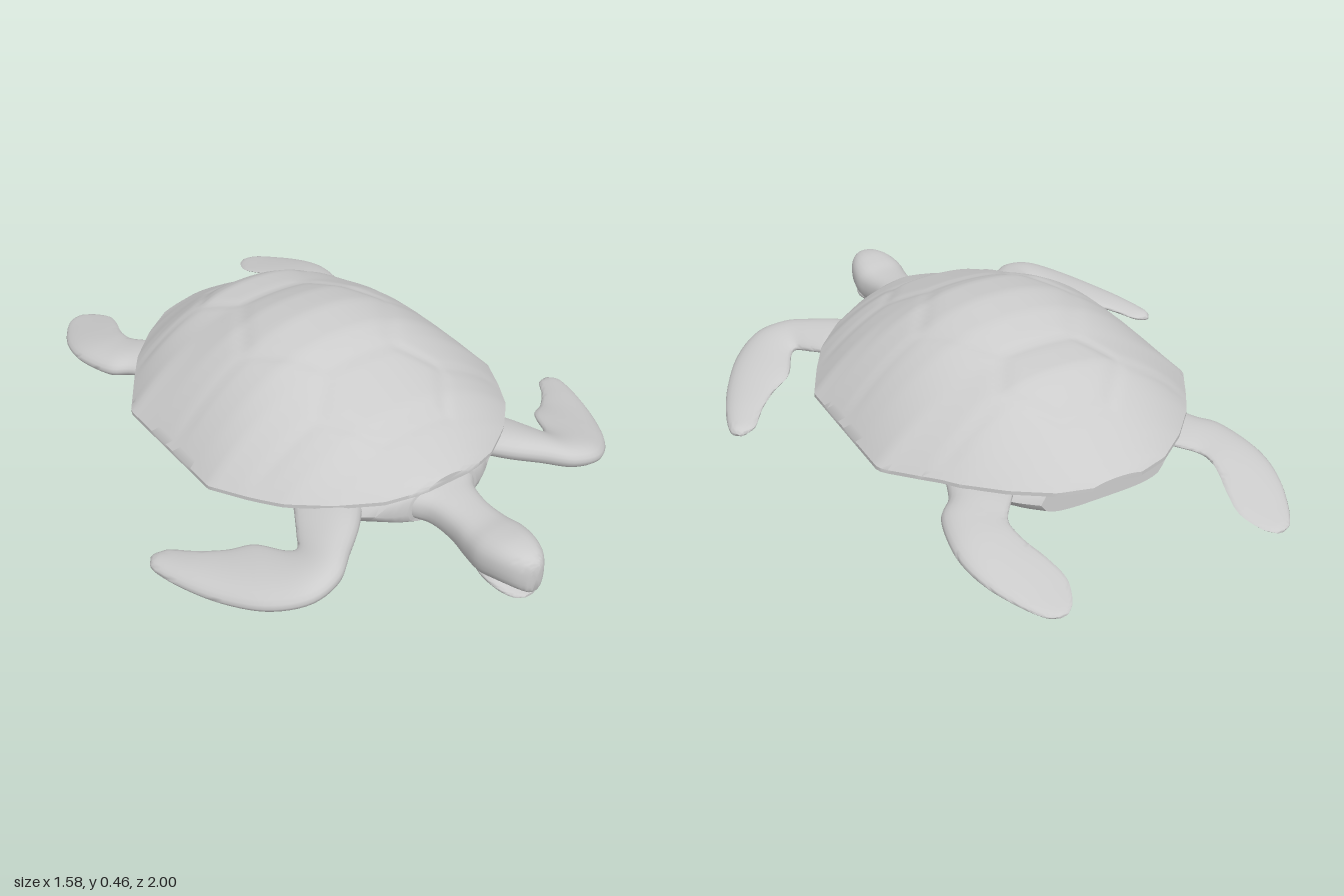
import * as THREE from 'three';
import { toCreasedNormals } from 'three/addons/utils/BufferGeometryUtils.js';

const material = new THREE.MeshStandardMaterial({ color: 0xcccccc });

// Linear interpolation through [t, value] pairs with ascending t
function sample(pairs, t) {
  if (t <= pairs[0][0]) return pairs[0][1];
  for (let i = 1; i < pairs.length; i++) {
    const [a, va] = pairs[i - 1], [b, vb] = pairs[i];
    if (t <= b) return va + ((vb - va) * (t - a)) / (b - a);
  }
  return pairs[pairs.length - 1][1];
}

// Skin closed rings of points, cap both ends and face the result outward
function loft(name, rings, crease = 0.9) {
  const n = rings[0].length, pos = [], index = [];
  rings.forEach((r) => r.forEach((p) => pos.push(p.x, p.y, p.z)));
  for (let i = 0; i < rings.length - 1; i++) {
    for (let j = 0; j < n; j++) {
      const a = i * n + j, b = i * n + ((j + 1) % n);
      index.push(a, b, a + n, b, b + n, a + n);
    }
  }
  [0, rings.length - 1].forEach((k) => {
    const c = new THREE.Vector3();
    rings[k].forEach((p) => c.addScaledVector(p, 1 / n));
    const id = pos.length / 3;
    pos.push(c.x, c.y, c.z);
    for (let j = 0; j < n; j++) {
      const a = k * n + j, b = k * n + ((j + 1) % n);
      if (k === 0) index.push(b, a, id); else index.push(a, b, id);
    }
  });
  const at = (i) => new THREE.Vector3().fromArray(pos, i * 3);
  let volume = 0;
  for (let i = 0; i < index.length; i += 3) {
    volume += at(index[i]).dot(at(index[i + 1]).cross(at(index[i + 2])));
  }
  if (volume < 0) index.reverse();
  const g = new THREE.BufferGeometry();
  g.setAttribute('position', new THREE.Float32BufferAttribute(pos, 3));
  g.setIndex(index);
  const mesh = new THREE.Mesh(toCreasedNormals(g, crease), material);
  mesh.name = name;
  return mesh;
}

// Rings across z; top and bottom give y for (u, z, x) with u from -1 to 1
function slab(name, z0, z1, width, top, bottom, rows = 80, cols = 48, crease = 0.7) {
  const rings = [];
  for (let i = 0; i <= rows; i++) {
    const z = (z0 + z1) / 2 - ((z1 - z0) / 2) * Math.cos((Math.PI * i) / rows);
    const w = width(z), ring = [];
    for (let j = 0; j <= cols; j++) {
      const u = 1 - (2 * j) / cols;
      ring.push(new THREE.Vector3(u * w, top(u, z, u * w), z));
    }
    for (let j = 0; j <= cols; j++) {
      const u = -1 + (2 * j) / cols;
      ring.push(new THREE.Vector3(u * w, bottom(u, z, u * w), z));
    }
    rings.push(ring);
  }
  return loft(name, rings, crease);
}

const outline = [[-0.71, 0.08], [-0.68, 0.18], [-0.6, 0.29], [-0.5, 0.39], [-0.4, 0.46], [-0.28, 0.54],
  [0.18, 0.54], [0.3, 0.48], [0.4, 0.42], [0.5, 0.32], [0.58, 0.2], [0.61, 0.12], [0.62, 0.07]];
const crest = [[-0.71, 0.2], [-0.62, 0.255], [-0.55, 0.3], [-0.45, 0.37], [-0.4, 0.395], [-0.28, 0.408],
  [-0.15, 0.45], [-0.03, 0.465], [0.1, 0.45], [0.2, 0.412], [0.4, 0.34], [0.47, 0.295], [0.62, 0.232]];
const rim = [[-0.71, 0.19], [-0.45, 0.178], [-0.3, 0.155], [0.18, 0.155], [0.35, 0.17], [0.58, 0.2], [0.62, 0.215]];

// Scute seams on one side of the shell: x, z to x, z
const seams = [[0, 0.45, 0.12, 0.45], [0.12, 0.45, 0.23, 0.3], [0.23, 0.3, 0.12, 0.19], [0, 0.19, 0.12, 0.19],
  [0.12, 0.19, 0.27, -0.03], [0.27, -0.03, 0.12, -0.27], [0, -0.27, 0.12, -0.27], [0.12, -0.27, 0.2, -0.4],
  [0.2, -0.4, 0.08, -0.53], [0, -0.53, 0.08, -0.53], [0.27, -0.03, 0.54, -0.03], [0.23, 0.3, 0.46, 0.3],
  [0.2, -0.4, 0.43, -0.44]];

function seamDepth(x, z) {
  let d = 1;
  for (const [ax, az, bx, bz] of seams) {
    const dx = bx - ax, dz = bz - az;
    const t = THREE.MathUtils.clamp(((x - ax) * dx + (z - az) * dz) / (dx * dx + dz * dz), 0, 1);
    d = Math.min(d, Math.hypot(x - ax - t * dx, z - az - t * dz));
  }
  return 0.006 * Math.exp(-((d / 0.018) ** 2));
}

function makeShell() {
  return slab('shell', -0.71, 0.62, (z) => sample(outline, z),
    (u, z, x) => {
      const e = sample(rim, z), f = 1 - Math.abs(u) ** 2.2;
      return e + (sample(crest, z) - e) * f - seamDepth(Math.abs(x), z) * Math.min(1, f * 4);
    },
    (u, z) => sample(rim, z) - 0.012, 100, 60);
}

// Soft body between the shell and the belly plate
function makeBody() {
  const bulge = (u) => Math.sqrt(Math.max(0, 1 - u ** 4));
  return slab('body', -0.64, 0.6, (z) => 0.88 * sample(outline, z),
    (u, z) => 0.13 + (sample(rim, z) - 0.13) * bulge(u),
    (u) => 0.13 - 0.045 * bulge(u), 40, 24);
}

// Belly plate with lengthwise keels and cross seams
function makeBelly() {
  const keel = [[-0.63, 0.085], [-0.5, 0.065], [-0.35, 0.035], [-0.2, 0.013], [0.05, 0.004], [0.3, 0.018],
    [0.4, 0.035], [0.5, 0.07]];
  const width = [[-0.63, 0.08], [-0.58, 0.18], [-0.45, 0.3], [-0.25, 0.42], [0, 0.455], [0.2, 0.43],
    [0.35, 0.36], [0.45, 0.24], [0.5, 0.1]];
  const groove = (d, w) => Math.exp(-((d / w) ** 2));
  return slab('bellyPlate', -0.63, 0.5, (z) => sample(width, z),
    () => 0.115,
    (u, z) => {
      const k = sample(keel, z), f = 1 - u * u;
      const across = ((((z + 0.63) / 0.16) % 1) - 0.5) * 0.16;
      const along = Math.min(...[0.2, 0.5, 0.8].map((s) => Math.abs(Math.abs(u) - s)));
      return 0.1 - (0.1 - k) * f + 0.007 * Math.max(groove(across, 0.012), groove(along, 0.04)) * f;
    }, 80, 48);
}

// Rounded sections along z: [z, halfWidth, bottom, top]
function tubeAlongZ(name, sections, power = 0.8) {
  const spine = new THREE.CatmullRomCurve3(sections.map(([z, w, b]) => new THREE.Vector3(w, b, z)));
  const tops = new THREE.CatmullRomCurve3(sections.map(([z, , , t]) => new THREE.Vector3(0, t, z)));
  spine.curveType = tops.curveType = 'catmullrom';
  const rings = [], steps = sections.length * 4;
  const soft = (v) => Math.sign(v) * Math.abs(v) ** power;
  for (let i = 0; i <= steps; i++) {
    const p = spine.getPoint(i / steps), top = tops.getPoint(i / steps).y, ring = [];
    for (let j = 0; j < 28; j++) {
      const a = (j / 28) * Math.PI * 2;
      ring.push(new THREE.Vector3(p.x * soft(Math.cos(a)), (top + p.y) / 2 + ((top - p.y) / 2) * soft(Math.sin(a)), p.z));
    }
    rings.push(ring);
  }
  return loft(name, rings);
}

// Flipper sections: [lead x, lead z, trail x, trail z, lead y, trail y, half thickness]
function makeFlipper(name, sections, side) {
  const curve = (x, z, y) => new THREE.CatmullRomCurve3(
    sections.map((s) => new THREE.Vector3(s[x] * side, s[y], s[z])), false, 'catmullrom');
  const lead = curve(0, 1, 4), trail = curve(2, 3, 5);
  const thick = sections.map((s, i) => [i / (sections.length - 1), s[6]]);
  const rings = [], steps = 48;
  for (let i = 0; i <= steps; i++) {
    const t = i / steps, a = lead.getPoint(t), b = trail.getPoint(t), h = sample(thick, t), ring = [];
    for (let j = 0; j < 24; j++) {
      const q = (j / 24) * Math.PI * 2, c = Math.cos(q);
      const p = b.clone().lerp(a, (1 + c) / 2);
      // Fuller toward the leading edge, thin at the trailing edge
      p.y += Math.sin(q) * h * (1 + 0.35 * c);
      ring.push(p);
    }
    rings.push(ring);
  }
  return loft(name, rings, 1.2);
}

const frontSections = [
  [0.2, 0.48, 0.32, 0.28, 0.15, 0.15, 0.035], [0.28, 0.57, 0.4, 0.42, 0.145, 0.14, 0.038],
  [0.36, 0.635, 0.435, 0.48, 0.135, 0.13, 0.037], [0.44, 0.695, 0.463, 0.522, 0.12, 0.12, 0.035],
  [0.54, 0.703, 0.49, 0.5, 0.1, 0.11, 0.034], [0.635, 0.635, 0.535, 0.415, 0.072, 0.095, 0.032],
  [0.71, 0.52, 0.6, 0.375, 0.052, 0.08, 0.027], [0.765, 0.39, 0.665, 0.315, 0.042, 0.065, 0.022],
  [0.792, 0.28, 0.715, 0.25, 0.038, 0.05, 0.016], [0.775, 0.238, 0.745, 0.235, 0.04, 0.045, 0.006]];
const rearSections = [
  [0.38, -0.38, 0.18, -0.48, 0.145, 0.145, 0.028], [0.42, -0.49, 0.28, -0.6, 0.135, 0.145, 0.03],
  [0.475, -0.55, 0.325, -0.66, 0.125, 0.14, 0.03], [0.505, -0.66, 0.33, -0.71, 0.115, 0.135, 0.026],
  [0.507, -0.75, 0.32, -0.76, 0.105, 0.125, 0.022], [0.485, -0.84, 0.3, -0.82, 0.092, 0.112, 0.017],
  [0.44, -0.93, 0.285, -0.9, 0.078, 0.092, 0.012], [0.4, -0.985, 0.31, -0.97, 0.07, 0.076, 0.008],
  [0.37, -1, 0.34, -1, 0.068, 0.07, 0.004]];

export function createModel() {
  const model = new THREE.Group();
  model.name = 'seaTurtle';
  model.add(makeShell(), makeBody(), makeBelly());

  // Neck and upper head, with a separate jaw below the mouth gap
  model.add(tubeAlongZ('headAndNeck', [
    [0.45, 0.2, 0.09, 0.19], [0.58, 0.13, 0.085, 0.2], [0.64, 0.088, 0.08, 0.195], [0.72, 0.075, 0.068, 0.187],
    [0.79, 0.082, 0.055, 0.185], [0.85, 0.09, 0.052, 0.193], [0.91, 0.08, 0.062, 0.197],
    [0.96, 0.06, 0.066, 0.19], [0.99, 0.035, 0.066, 0.175], [1, 0.018, 0.075, 0.16]]));
  model.add(tubeAlongZ('lowerJaw', [
    [0.8, 0.06, 0.055, 0.09], [0.86, 0.07, 0.043, 0.08], [0.92, 0.06, 0.034, 0.062],
    [0.96, 0.042, 0.034, 0.052], [0.98, 0.018, 0.04, 0.048]]));

  for (const [label, side] of [['left', 1], ['right', -1]]) {
    model.add(makeFlipper(label + 'FrontFlipper', frontSections, side));
    model.add(makeFlipper(label + 'RearFlipper', rearSections, side));
  }
  return model;
}
